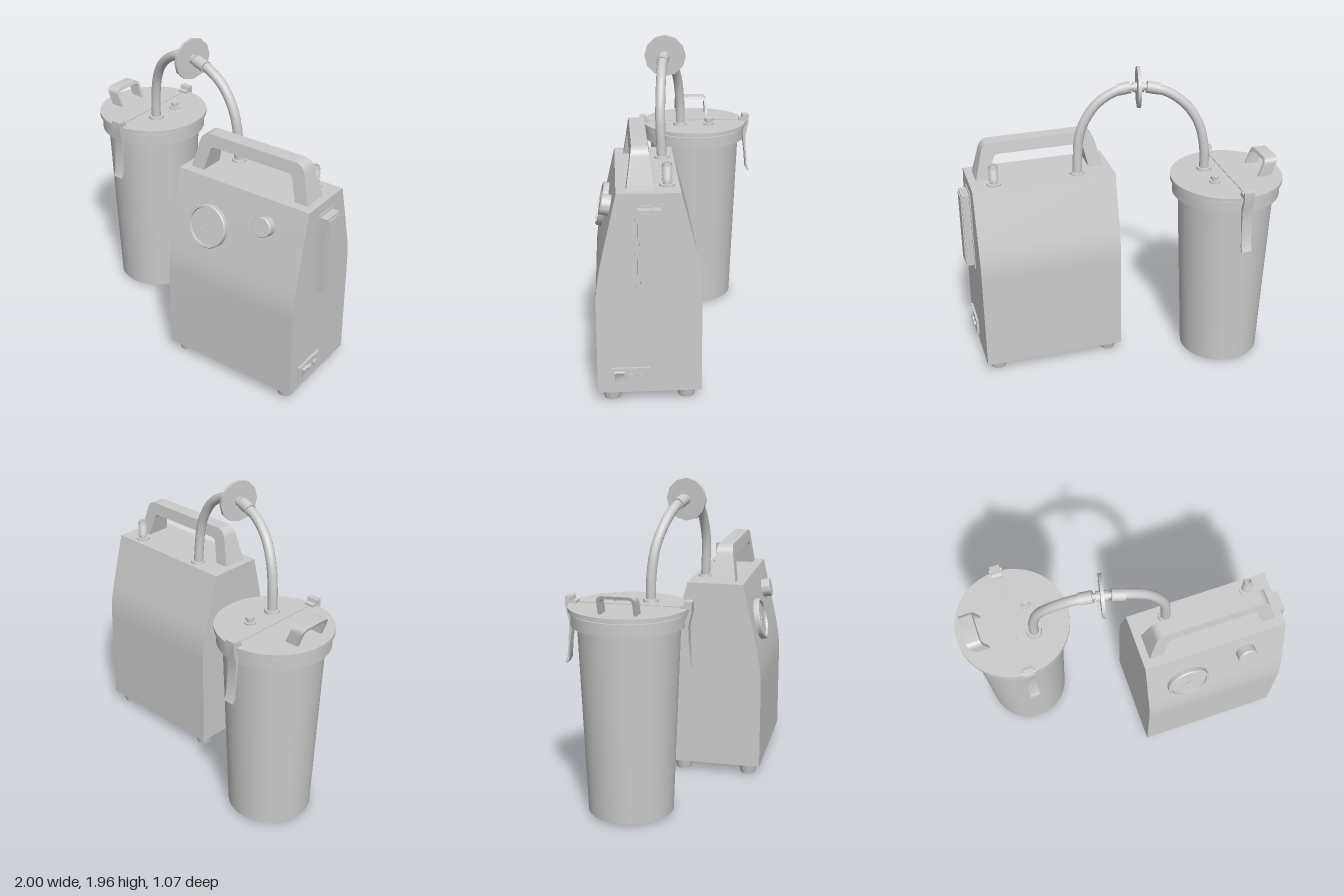
import * as THREE from 'three';
import { toCreasedNormals } from 'three/addons/utils/BufferGeometryUtils.js';

const mat = new THREE.MeshStandardMaterial({ color: 0xcccccc });
const V = (x, y, z) => new THREE.Vector3(x, y, z);

export function createModel() {
  const root = new THREE.Group();

  const add = (name, geo, x = 0, y = 0, z = 0, parent = root) => {
    const mesh = new THREE.Mesh(geo, mat);
    mesh.name = name;
    mesh.position.set(x, y, z);
    parent.add(mesh);
    return mesh;
  };
  const group = (name, x, y, z, parent = root) => {
    const g = new THREE.Group();
    g.name = name;
    g.position.set(x, y, z);
    parent.add(g);
    return g;
  };
  const box = (w, h, d) => new THREE.BoxGeometry(w, h, d);
  const cyl = (rTop, rBottom, h, n = 32) => new THREE.CylinderGeometry(rTop, rBottom, h, n);
  const lathe = (pts, n = 48) => toCreasedNormals(
    new THREE.LatheGeometry(pts.map(p => new THREE.Vector2(...p)), n), 0.5);
  const poly = pts => new THREE.Shape(pts.map(p => new THREE.Vector2(...p)));
  const extrude = (shape, depth) => toCreasedNormals(
    new THREE.ExtrudeGeometry(shape, { depth, bevelEnabled: false, curveSegments: 10 })
      .translate(0, 0, -depth / 2), 0.5);
  // Extrudes a (z, y) outline along x
  const extrudeX = (shape, width) => extrude(shape, width).rotateY(-Math.PI / 2);

  // Pump housing with leaning front and back
  const side = new THREE.Shape();
  side.moveTo(-0.075, 0.065);
  side.lineTo(0.53, 0.065);
  side.lineTo(0.53, 0.62);
  side.quadraticCurveTo(0.53, 0.73, 0.492, 0.9);
  side.lineTo(0.405, 1.28);
  side.lineTo(0.045, 1.28);
  side.lineTo(-0.045, 0.93);
  side.quadraticCurveTo(-0.075, 0.82, -0.075, 0.7);
  add('housing', extrudeX(side, 0.912), 0.481, 0, 0);
  for (const x of [0.1, 0.855]) for (const z of [0.445, 0.01])
    add('foot', cyl(0.062, 0.048, 0.066), x, 0.033, z);

  // Carrying handle, narrowing in depth towards the top
  const grip = new THREE.Shape();
  grip.moveTo(0.07, 1.275);
  grip.lineTo(0.16, 1.275);
  grip.lineTo(0.19, 1.4);
  grip.quadraticCurveTo(0.198, 1.437, 0.235, 1.437);
  grip.lineTo(0.73, 1.437);
  grip.quadraticCurveTo(0.765, 1.437, 0.773, 1.4);
  grip.lineTo(0.805, 1.275);
  grip.lineTo(0.89, 1.275);
  grip.lineTo(0.842, 1.46);
  grip.quadraticCurveTo(0.828, 1.512, 0.775, 1.512);
  grip.lineTo(0.19, 1.512);
  grip.quadraticCurveTo(0.132, 1.512, 0.118, 1.46);
  const gripGeo = extrude(grip, 0.16);
  const gp = gripGeo.attributes.position;
  for (let i = 0; i < gp.count; i++)
    gp.setZ(i, gp.getZ(i) * (1 - 0.42 * (gp.getY(i) - 1.275) / 0.237));
  add('carryHandle', toCreasedNormals(gripGeo, 0.5), 0, 0, 0.268);

  // Gauge and knob on the sloping face
  const face = group('controls', 0, 1, 0.469);
  face.rotation.x = -0.225;
  const gauge = group('gauge', 0.29, 0, 0, face);
  add('gaugeDial', lathe([[0.135, -0.02], [0.135, 0.028], [0.13, 0.035], [0.118, 0.035],
    [0.115, 0.02], [0, 0.02]]), 0, 0, 0, gauge).rotation.x = Math.PI / 2;
  add('gaugeNeedle', box(0.14, 0.004, 0.004), -0.03, -0.022, 0.022, gauge).rotation.z = 0.63;
  add('gaugeHub', cyl(0.009, 0.009, 0.01, 16), 0, 0, 0.023, gauge).rotation.x = Math.PI / 2;
  add('knob', lathe([[0.062, -0.02], [0.062, 0.05], [0.057, 0.056], [0, 0.056]]),
    0.675, 0.128, 0, face).rotation.x = Math.PI / 2;

  // Raised box on the side wall
  add('sideBoxFlange', box(0.012, 0.535, 0.16), 0.937, 0.947, 0.225);
  add('sideBox', box(0.055, 0.5, 0.13), 0.963, 0.95, 0.225);
  add('sideBoxPanel', box(0.01, 0.47, 0.106), 0.992, 0.95, 0.225);

  // Power panel with rocker switch and two fuse caps
  add('powerPanel', box(0.03, 0.11, 0.222), 0.937, 0.17, 0.339);
  add('rockerSwitch', extrude(poly([[0, -0.04], [0.008, -0.04], [0.006, 0], [0.022, 0.035],
    [0.014, 0.04], [0, 0.04]]), 0.057), 0.95, 0.17, 0.402);
  for (const z of [0.337, 0.28])
    add('fuseCap', cyl(0.02, 0.02, 0.014, 24), 0.957, 0.172, z).rotation.z = Math.PI / 2;

  // Ribbed outlet nozzle
  const barb = [[0.045, 0], [0.045, 0.012], [0.024, 0.012]];
  for (let i = 0; i < 4; i++)
    barb.push([0.024, 0.03 + i * 0.026], [0.031, 0.03 + i * 0.026], [0.025, 0.054 + i * 0.026]);
  barb.push([0.025, 0.135], [0.016, 0.135], [0.016, 0.02], [0, 0.02]);
  add('nozzle', lathe(barb, 24), 0.79, 1.277, 0.115);

  // Tapered canister with rim and lid
  const jar = group('canister', -0.645, 0, -0.153);
  add('jar', lathe([[0, 0.015], [0.258, 0.015], [0.303, 1.165], [0.34, 1.165], [0.34, 1.24],
    [0.325, 1.24], [0.325, 1.255]], 64), 0, 0, 0, jar);
  add('lid', cyl(0.355, 0.355, 0.025, 64), 0, 1.2625, 0, jar);
  add('lidSeam', box(0.004, 0.006, 0.66), 0, 1.277, 0, jar);
  add('lidPort', lathe([[0.035, 0], [0.035, 0.012], [0.018, 0.012], [0.018, 0.025],
    [0.026, 0.025], [0.026, 0.045], [0, 0.045]], 24), 0.112, 1.273, -0.09, jar);

  // Spring clips at the front and back of the lid
  const clipShape = poly([[0.31, 1.272], [0.365, 1.272], [0.34, 1.21], [0.34, 1.14], [0.352, 1.05],
    [0.362, 0.935], [0.375, 0.91], [0.387, 0.915], [0.372, 0.95], [0.362, 1.06], [0.358, 1.17],
    [0.378, 1.26], [0.378, 1.315], [0.335, 1.318], [0.33, 1.295], [0.31, 1.29]]);
  for (const turn of [0, Math.PI]) {
    const clip = group('clip', 0, 0, 0, jar);
    clip.rotation.y = turn;
    add('clipLever', extrudeX(clipShape, 0.064), 0, 0, 0, clip);
    add('clipPin', cyl(0.012, 0.012, 0.08, 16), 0, 1.305, 0.352, clip).rotation.z = Math.PI / 2;
  }

  // Leaning loop handle on the lid
  const loop = (w, h, r) => [s => s.moveTo(-w, 0), s => s.lineTo(-w, h - r),
    s => s.quadraticCurveTo(-w, h, -w + r, h), s => s.lineTo(w - r, h),
    s => s.quadraticCurveTo(w, h, w, h - r), s => s.lineTo(w, 0)];
  const arch = new THREE.Shape();
  loop(0.112, 0.117, 0.04).forEach(f => f(arch));
  const inner = new THREE.Path();
  loop(0.094, 0.099, 0.028).forEach(f => f(inner));
  inner.getPoints(10).reverse().forEach(p => arch.lineTo(p.x, p.y));
  const archGeo = extrudeX(arch, 0.085);
  const ap = archGeo.attributes.position;
  for (let i = 0; i < ap.count; i++) ap.setX(i, ap.getX(i) - 0.38 * ap.getY(i));
  add('lidHandle', toCreasedNormals(archGeo, 0.5), -0.218, 1.273, 0.005, jar);

  // Hoses from the canister and the pump to the filter
  const hose = (name, pts) => add(name, new THREE.TubeGeometry(
    new THREE.CatmullRomCurve3(pts), 48, 0.03, 16));
  hose('canisterHose', [V(-0.535, 1.27, -0.05), V(-0.53, 1.43, -0.047), V(-0.495, 1.59, -0.03),
    V(-0.42, 1.71, 0.002), V(-0.305, 1.795, 0.035), V(-0.2, 1.825, 0.055)]);
  hose('pumpHose', [V(0.257, 1.27, 0.117), V(0.24, 1.51, 0.125), V(0.205, 1.618, 0.122),
    V(0.125, 1.735, 0.113), V(0.01, 1.808, 0.1), V(-0.07, 1.828, 0.085)]);
  for (const [x, z] of [[-0.535, -0.05], [0.257, 0.117]])
    add('hoseCollar', cyl(0.045, 0.048, 0.018, 24), x, 1.284, z);

  // Disc filter with stems and sleeves
  const filter = group('filter', -0.132, 1.83, 0.075);
  filter.rotation.y = -0.22;
  add('filterDisc', cyl(0.13, 0.13, 0.02, 12).toNonIndexed(), 0, 0, 0, filter).rotation.z = Math.PI / 2;
  add('filterStem', cyl(0.02, 0.02, 0.16, 16), 0, 0, 0, filter).rotation.z = Math.PI / 2;
  for (const s of [-1, 1]) {
    add('filterBoss', cyl(0.03, 0.03, 0.03, 16), s * 0.02, 0, 0, filter).rotation.z = Math.PI / 2;
    add('hoseSleeve', cyl(0.037, 0.037, 0.08, 20), s * 0.09, -0.007, 0, filter)
      .rotation.z = Math.PI / 2 - s * 0.2;
  }
  return root;
}
